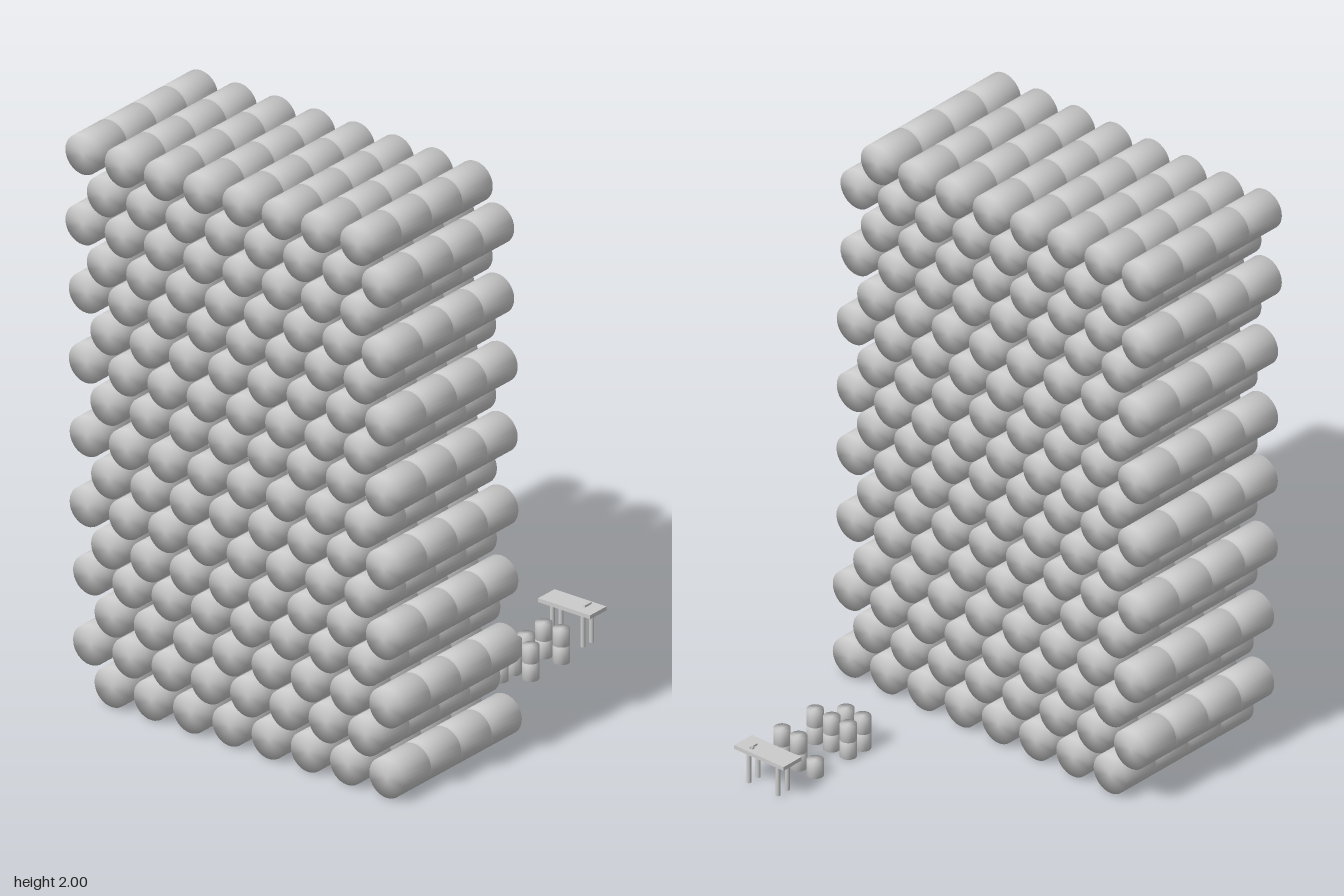
import * as THREE from 'three';
import { mergeVertices } from 'three/addons/utils/BufferGeometryUtils.js';

const material = new THREE.MeshStandardMaterial({ color: 0xcccccc });

// Cylinder whose side and caps share normals, giving a soft, padded look
function softCylinder(radius, length, sides) {
  const g = new THREE.CylinderGeometry(radius, radius, length, sides);
  g.deleteAttribute('uv');
  g.deleteAttribute('normal');
  const merged = mergeVertices(g, 1e-4);
  merged.computeVertexNormals();
  return merged;
}

function add(parent, name, geometry, x, y, z) {
  const mesh = new THREE.Mesh(geometry, material);
  mesh.name = name;
  mesh.position.set(x, y, z);
  parent.add(mesh);
  return mesh;
}

// Four tiers of four staggered rows, each row eight rolls wide and four deep
function createRollStack() {
  const stack = new THREE.Group();
  stack.name = 'rollStack';
  const radius = 0.07, length = 0.142, pitch = 0.159, rise = 0.124;
  const roll = softCylinder(radius, length, 32).rotateX(Math.PI / 2);
  for (let tier = 0; tier < 4; tier++) {
    const group = new THREE.Group();
    group.name = 'rollTier';
    const zStart = (tier % 2 ? 0.068 : 0.05) + length / 2;
    for (let r = 0; r < 4; r++) {
      const row = tier * 4 + r;
      const xStart = (row % 2 ? -0.595 : -0.508) - (tier > 1 ? 0.017 : 0);
      for (let i = 0; i < 8; i++) {
        for (let k = 0; k < 4; k++) {
          add(group, 'roll', roll, xStart + i * pitch, radius + row * rise, zStart + k * 0.158);
        }
      }
    }
    stack.add(group);
  }
  return stack;
}

// Small upright drums, most of them stacked in pairs
function createDrums() {
  const drums = new THREE.Group();
  drums.name = 'drums';
  const drum = softCylinder(0.028, 0.057, 32);
  const columns = [
    [0.276, -0.487, 1], [0.347, -0.487, 2], [0.418, -0.487, 2],
    [0.276, -0.327, 2], [0.347, -0.327, 2], [0.418, -0.327, 2],
    [0.276, -0.258, 2], [0.347, -0.258, 2],
  ];
  for (const [x, z, count] of columns) {
    for (let i = 0; i < count; i++) add(drums, 'drum', drum, x, 0.0285 + i * 0.062, z);
  }
  return drums;
}

// Table on four round legs with a small angled tool lying on it
function createTable() {
  const table = new THREE.Group();
  table.name = 'table';
  add(table, 'tableTop', new THREE.BoxGeometry(0.211, 0.014, 0.086), 0.342, 0.123, -0.642);
  const leg = new THREE.CylinderGeometry(0.008, 0.008, 0.117, 16);
  for (const x of [0.28, 0.404]) {
    for (const z of [-0.663, -0.618]) add(table, 'tableLeg', leg, x, 0.0585, z);
  }
  add(table, 'toolBody', new THREE.BoxGeometry(0.007, 0.007, 0.033), 0.395, 0.1335, -0.652);
  add(table, 'toolGrip', new THREE.BoxGeometry(0.012, 0.006, 0.009), 0.391, 0.133, -0.663);
  return table;
}

export function createModel() {
  const model = new THREE.Group();
  model.name = 'rollStackYard';
  model.add(createRollStack(), createDrums(), createTable());
  return model;
}
